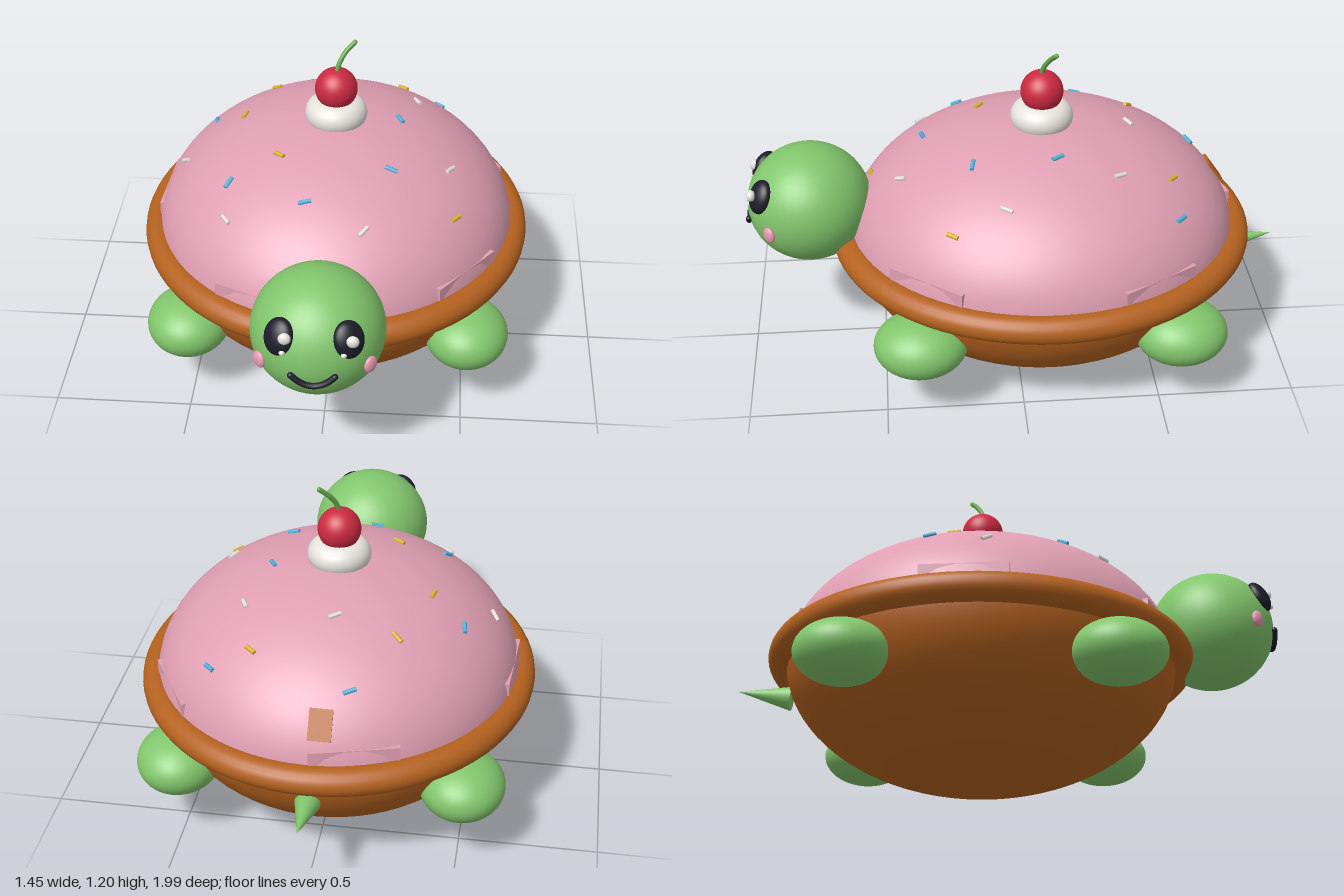
import * as THREE from 'three';

const mat = (name, color) => {
  const m = new THREE.MeshStandardMaterial({ color });
  m.name = name;
  return m;
};

export function createModel() {
  const green = mat('skin green', 0x82c66c);
  const stemGreen = mat('stem green', 0x66a84c);
  const pink = mat('frosting pink', 0xe09fb3);
  const brown = mat('crust brown', 0xb5621f);
  const red = mat('cherry red', 0xcc2a42);
  const cream = mat('cream white', 0xece8e2);
  const dark = mat('eye black', 0x1c1c2b);
  const blush = mat('blush pink', 0xf0a0b8);
  const blue = mat('sprinkle blue', 0x4fb4dc);
  const yellow = mat('sprinkle yellow', 0xe0b62e);

  const model = new THREE.Group();
  const add = (name, geometry, material, parent = model) => {
    const mesh = new THREE.Mesh(geometry, material);
    mesh.name = name;
    parent.add(mesh);
    return mesh;
  };
  const ball = (name, material, pos, radii, parent) => {
    const mesh = add(name, new THREE.SphereGeometry(1, 40, 28), material, parent);
    mesh.position.set(...pos);
    mesh.scale.set(...radii);
    return mesh;
  };

  // Shell: half-ellipsoid crust below, frosting dome above, rolled rim between
  const RX = 0.67, RY = 0.45, RZ = 0.72, CY = 0.46, CZ = -0.105;
  const bowl = add('crustBowl', new THREE.SphereGeometry(1, 64, 24, 0, Math.PI * 2, Math.PI / 2, Math.PI / 2), brown);
  bowl.scale.set(0.665, 0.46, 0.72);
  bowl.position.set(0, CY, CZ);
  const dome = add('frostingDome', new THREE.SphereGeometry(1, 64, 24, 0, Math.PI * 2, 0, Math.PI / 2), pink);
  dome.scale.set(RX, RY, RZ);
  dome.position.set(0, CY, CZ);
  const rim = add('crustRim', new THREE.TorusGeometry(0.675, 0.052, 20, 80).rotateX(Math.PI / 2), brown);
  rim.scale.z = 1.08;
  rim.position.set(0, CY, CZ);

  // Five flat frosting drips just above the rim
  for (let i = 0; i < 5; i++) {
    const a = (40 + i * 72) * Math.PI / 180;
    const n = new THREE.Vector3(Math.cos(a) / RX, 0, Math.sin(a) / RZ).normalize();
    const drip = add('frostingDrip', new THREE.BoxGeometry(0.31, 0.1, 0.06), pink);
    drip.position.set(RX * 0.975 * Math.cos(a), 0.51, CZ + RZ * 0.975 * Math.sin(a)).addScaledVector(n, -0.03);
    drip.rotation.y = Math.atan2(n.x, n.z);
  }

  // Lays a mesh on the dome at (x, z), its long x axis turned by deg in plan
  const layOnDome = (mesh, x, z, deg, lift) => {
    const dz = z - CZ;
    const h = Math.sqrt(Math.max(0, 1 - (x / RX) ** 2 - (dz / RZ) ** 2));
    const n = new THREE.Vector3(x / RX ** 2, h / RY, dz / RZ ** 2).normalize();
    const a = deg * Math.PI / 180;
    const t = new THREE.Vector3(Math.cos(a), 0, Math.sin(a));
    t.addScaledVector(n, -t.dot(n)).normalize();
    const b = new THREE.Vector3().crossVectors(t, n);
    mesh.quaternion.setFromRotationMatrix(new THREE.Matrix4().makeBasis(t, n, b));
    mesh.position.set(x, CY + RY * h, z).addScaledVector(n, lift);
  };

  // Sprinkles: x, z, heading
  const sprinkles = [
    [blue, [[-0.125, -0.675, -35], [0.38, -0.565, 45], [-0.47, -0.28, 70], [0.235, -0.14, 60],
      [-0.365, 0.19, -50], [0.215, 0.16, 15], [-0.08, 0.33, -15]]],
    [yellow, [[-0.255, -0.46, 40], [0.235, -0.555, 45], [-0.35, -0.2, -80], [-0.19, 0.115, 35],
      [0.45, 0.245, -50], [-0.07, 0.525, -20]]],
    [cream, [[-0.035, -0.43, -35], [0.295, -0.355, 65], [-0.565, -0.08, 30], [0.425, 0.055, -55],
      [-0.36, 0.33, 60], [0.13, 0.415, -60]]],
  ];
  const sprinkleGeo = new THREE.CylinderGeometry(0.008, 0.008, 0.046, 8).rotateZ(Math.PI / 2);
  for (const [material, spots] of sprinkles)
    for (const [x, z, deg] of spots) layOnDome(add('sprinkle', sprinkleGeo, material), x, z, deg, 0.003);

  // Crust patch showing at the back of the frosting
  layOnDome(add('crustPatch', new THREE.BoxGeometry(0.08, 0.009, 0.11), brown), -0.04, -0.765, 0, 0.004);

  // Cream ring, cherry and stem
  const whip = add('whippedCream', new THREE.TorusGeometry(0.06, 0.055, 20, 40).rotateX(Math.PI / 2), cream);
  whip.position.set(0, 0.928, CZ);
  ball('cherry', red, [0, 1.027, CZ], [0.078, 0.078, 0.078]);
  const stemCurve = new THREE.CatmullRomCurve3([
    [0, 1.09, -0.1], [0.012, 1.13, -0.112], [0.033, 1.165, -0.13], [0.064, 1.195, -0.148],
  ].map(p => new THREE.Vector3(...p)));
  add('cherryStem', new THREE.TubeGeometry(stemCurve, 16, 0.009, 10), stemGreen);
  const stemTip = add('stemTip', new THREE.SphereGeometry(0.009, 10, 8), stemGreen);
  stemTip.position.copy(stemCurve.getPoint(1));

  // Feet
  for (const side of [-1, 1])
    for (const z of [0.37, -0.565])
      ball(z > 0 ? 'frontFoot' : 'backFoot', green, [side * 0.507, 0.298, z], [0.152, 0.111, 0.168]);

  // Tail: cone pointing back and slightly up
  const tail = add('tail', new THREE.ConeGeometry(0.045, 0.2, 24), green);
  tail.position.set(0, 0.352, -0.902);
  tail.rotation.x = -Math.PI / 2 + 0.14;

  // Head and face
  const head = new THREE.Group();
  head.name = 'head';
  head.position.set(0, 0.606, 0.757);
  model.add(head);
  ball('skull', green, [0, 0, 0], [0.229, 0.219, 0.229], head);
  for (const side of [-1, 1]) {
    const eye = ball('eye', dark, [side * 0.113, 0.091, 0.168], [0.054, 0.064, 0.032], head);
    eye.rotation.set(-0.42, side * 0.55, 0, 'YXZ');
    const cheek = ball('cheek', blush, [side * 0.183, -0.03, 0.143], [0.026, 0.031, 0.014], head);
    cheek.rotation.y = side * 0.8;
    ball('eyeGlint', cream, [side * 0.11 + 0.018, 0.107, 0.2], [0.021, 0.021, 0.016], head);
    ball('eyeGlintSmall', cream, [side * 0.1, 0.057, 0.209], [0.01, 0.01, 0.01], head);
  }

  // Smile follows the front of the head
  const smile = [];
  for (let i = -4; i <= 4; i++) {
    const x = i * 0.018;
    const y = -0.063 + 0.038 * (i / 4) ** 2;
    smile.push(new THREE.Vector3(x, y, 0.229 * Math.sqrt(1 - (x / 0.229) ** 2 - (y / 0.219) ** 2) + 0.006));
  }
  add('mouth', new THREE.TubeGeometry(new THREE.CatmullRomCurve3(smile), 32, 0.011, 10), dark, head);
  for (const p of [smile[0], smile[8]]) ball('mouthCorner', dark, p.toArray(), [0.011, 0.011, 0.011], head);

  return model;
}
